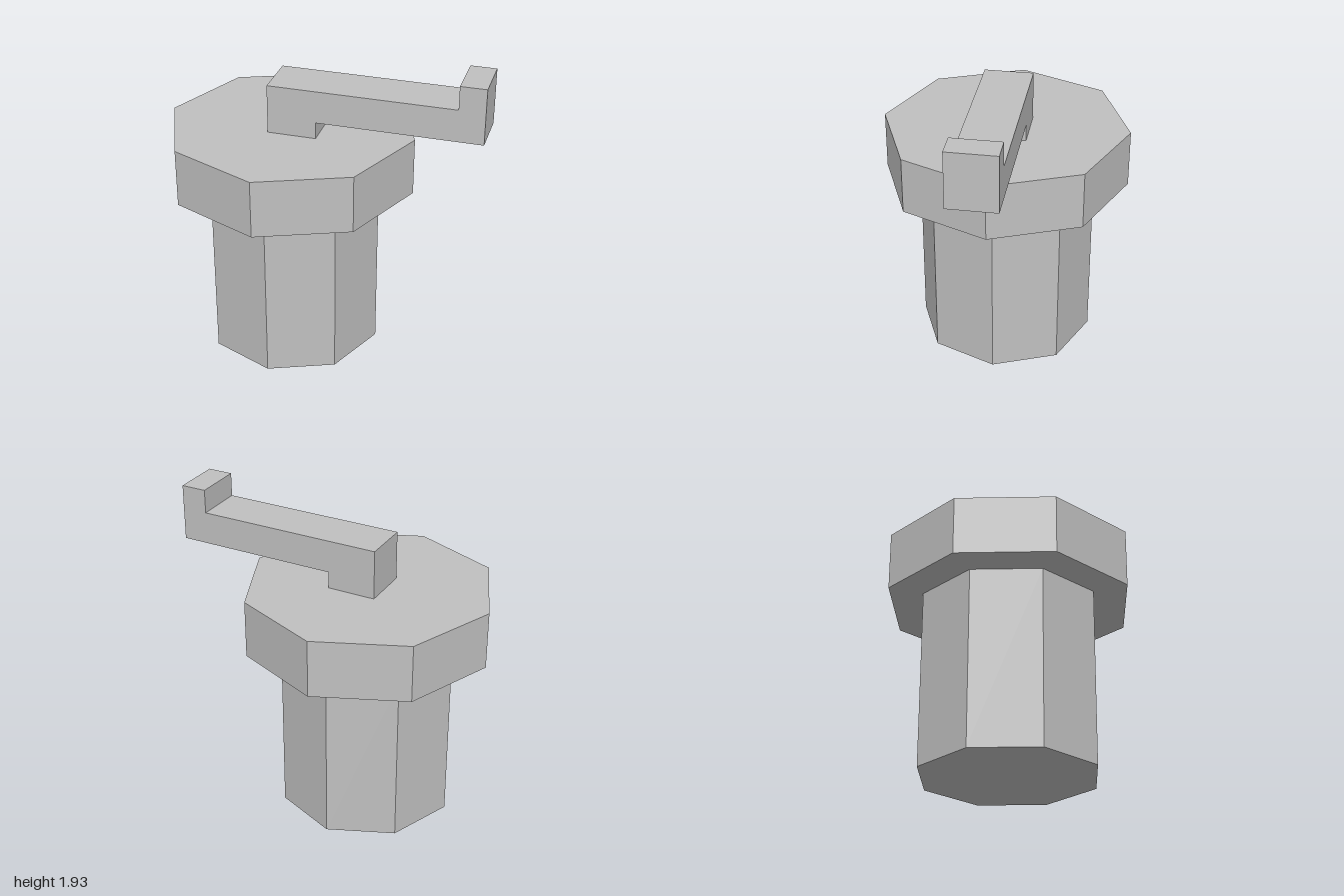
import * as THREE from 'three';

export function createModel() {
  const group = new THREE.Group();
  const grey = new THREE.MeshStandardMaterial({ color: 0xc0c0c0, flatShading: true });
  grey.name = 'grey';

  const axisX = -0.22; // shared axis of the octagonal parts
  const capBottom = 1.11;
  const capTop = 1.475;

  function addPart(name, geometry) {
    const mesh = new THREE.Mesh(geometry, grey);
    mesh.name = name;
    group.add(mesh);
    return mesh;
  }

  function addOctagon(name, radius, y0, y1) {
    const mesh = addPart(name, new THREE.CylinderGeometry(radius, radius, y1 - y0, 8));
    mesh.position.set(axisX, (y0 + y1) / 2, 0);
  }

  // Octagonal barrel and the wider cap on top of it
  addOctagon('body', 0.56, 0, capBottom);
  addOctagon('cap', 0.778, capBottom, capTop);

  // Crank: short stem, long arm and raised grip in one side profile
  const profile = [
    [-0.325, capTop], [-0.02, capTop], [-0.02, 1.58], [1, 1.58],
    [1, 1.935], [0.84, 1.935], [0.84, 1.785], [-0.325, 1.785],
  ];
  const shape = new THREE.Shape(profile.map(([x, y]) => new THREE.Vector2(x, y)));
  const depth = 0.306;
  const crank = new THREE.ExtrudeGeometry(shape, { depth, bevelEnabled: false });
  crank.translate(0, 0, -depth / 2);
  addPart('crankHandle', crank);

  return group;
}
